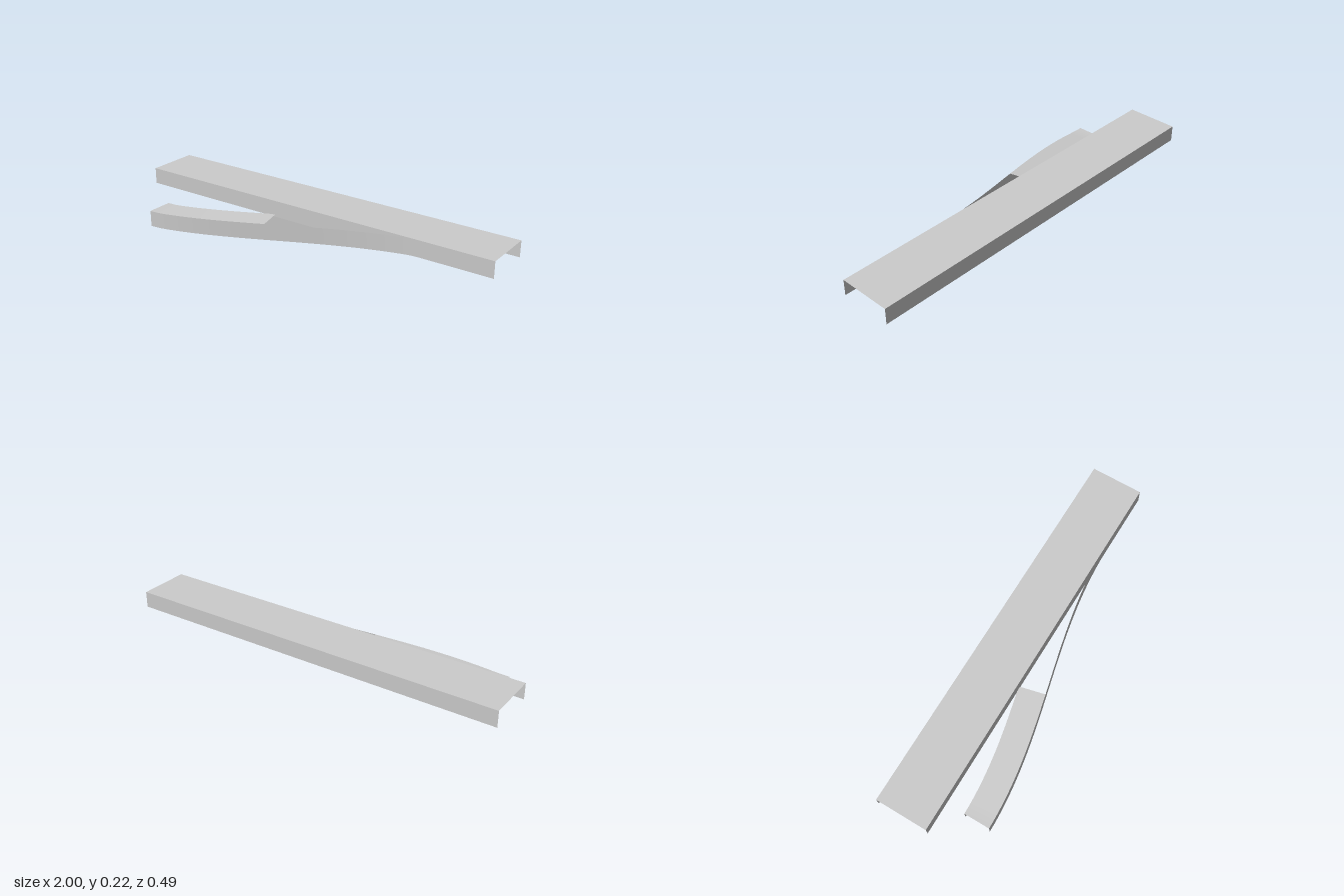
import * as THREE from 'three';

const TOP = 0.219, DEPTH = 0.084;
const X0 = -0.833, X1 = 0.64;      // ramp start and end
const WIDTH = 0.135;               // ramp width
const PLATE_END = -0.157;          // where the ramp's top plate stops

const material = new THREE.MeshStandardMaterial({ color: 0xcccccc, side: THREE.DoubleSide });

// Thin strip spanned between two rails of equal point count
function strip(name, railA, railB) {
  const pos = [], index = [];
  railA.forEach((a, i) => {
    pos.push(...a.toArray(), ...railB[i].toArray());
    if (i > 0) {
      const k = 2 * i;
      index.push(k - 2, k - 1, k, k, k - 1, k + 1);
    }
  });
  const geo = new THREE.BufferGeometry();
  geo.setAttribute('position', new THREE.Float32BufferAttribute(pos, 3));
  geo.setIndex(index);
  geo.computeVertexNormals();
  const mesh = new THREE.Mesh(geo, material);
  mesh.name = name;
  return mesh;
}

// Straight climb with short eased ends
function climb(t) {
  const e = 0.06, s = 1 / (1 - e);
  if (t < e) return s * t * t / (2 * e);
  if (t > 1 - e) return 1 - s * (1 - t) ** 2 / (2 * e);
  return s * (t - e / 2);
}

// Point on the upper edge of the ramp, offset inward from its outer side
function rampPoint(x, inset) {
  const t = (x - X0) / (X1 - X0), drop = 0.222;
  const z = 0.245 - drop * (1 - Math.cos(Math.PI * t)) / 2;
  const slope = -drop * Math.PI / 2 * Math.sin(Math.PI * t) / (X1 - X0);
  const n = new THREE.Vector2(slope, -1).normalize();
  return new THREE.Vector3(x + n.x * inset, DEPTH + (TOP - DEPTH) * climb(t), z + n.y * inset);
}

function rampRail(inset, xEnd, steps) {
  return Array.from({ length: steps + 1 }, (_, i) => rampPoint(X0 + (xEnd - X0) * i / steps, inset));
}

const lowered = rail => rail.map(p => p.clone().setY(p.y - DEPTH));

export function createModel() {
  const model = new THREE.Group();
  model.name = 'overpassWithRamp';

  // Straight deck with a side wall along each edge
  const deck = new THREE.Group();
  deck.name = 'deck';
  const edge = z => [-1, 1].map(x => new THREE.Vector3(x, TOP, z));
  const front = edge(0.023), back = edge(-0.245);
  deck.add(
    strip('deckTop', front, back),
    strip('deckFrontWall', lowered(front), front),
    strip('deckBackWall', back, lowered(back)),
  );

  // Curved ramp: two full-length walls and a plate over the lower part
  const ramp = new THREE.Group();
  ramp.name = 'ramp';
  const outer = rampRail(0, X1, 64), inner = rampRail(WIDTH, X1, 64);
  ramp.add(
    strip('rampOuterWall', lowered(outer), outer),
    strip('rampInnerWall', inner, lowered(inner)),
    strip('rampTop', rampRail(0, PLATE_END, 32), rampRail(WIDTH, PLATE_END, 32)),
  );

  model.add(deck, ramp);
  return model;
}
